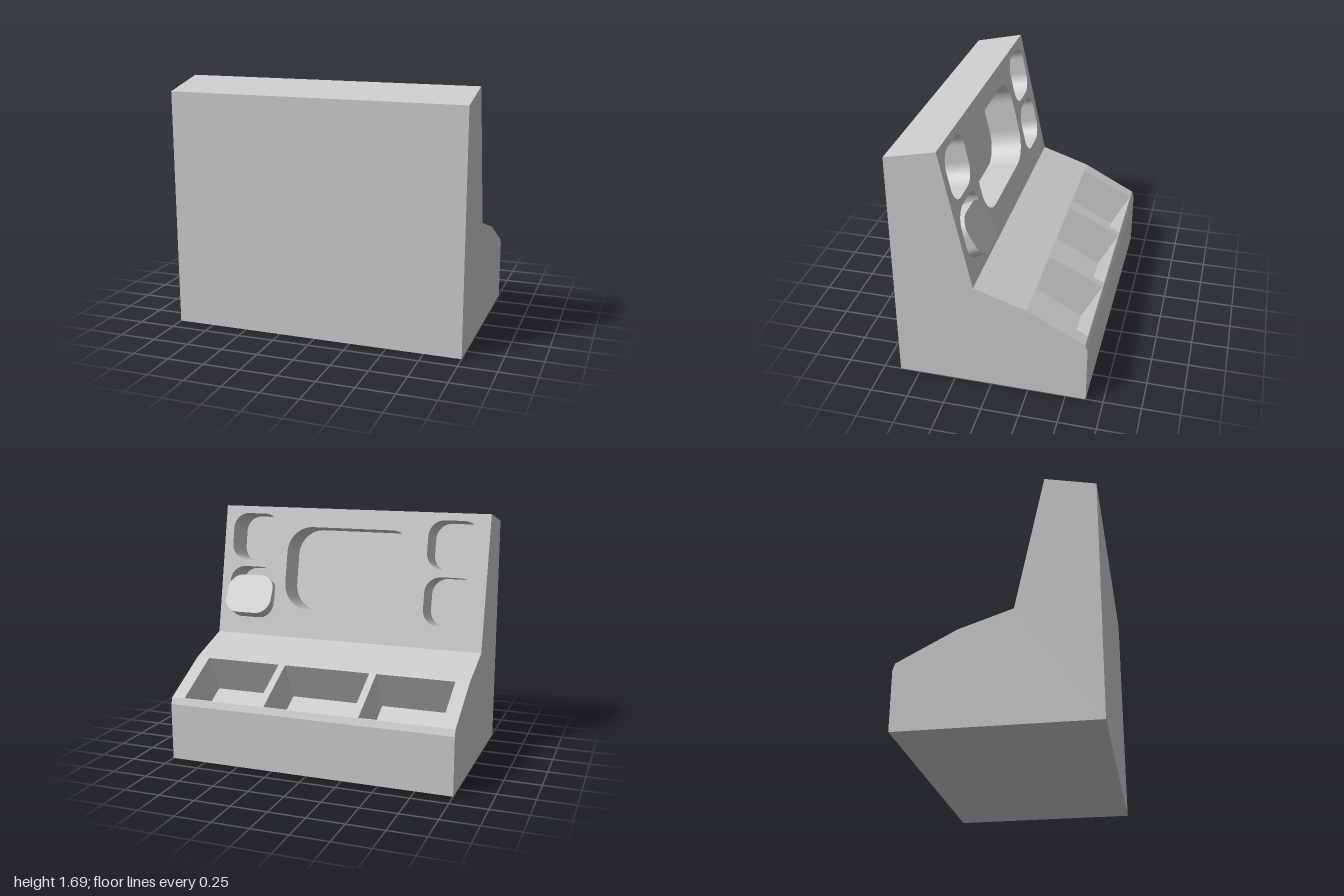
import * as THREE from 'three';

const material = new THREE.MeshStandardMaterial({ color: 0xcccccc, flatShading: true });

// Rectangle centred on (cx, cy), with rounded corners when r > 0
function rectShape(cx, cy, w, h, r) {
  const s = new THREE.Shape();
  const a = w / 2, b = h / 2;
  if (!r) {
    return s.setFromPoints([[-a, -b], [a, -b], [a, b], [-a, b]]
      .map(([x, y]) => new THREE.Vector2(cx + x, cy + y)));
  }
  [[1, -1, -0.5], [1, 1, 0], [-1, 1, 0.5], [-1, -1, 1]].forEach(([sx, sy, t]) =>
    s.absarc(cx + sx * (a - r), cy + sy * (b - r), r, t * Math.PI, (t + 0.5) * Math.PI, false));
  s.closePath();
  return s;
}

function addMesh(parent, name, geometry) {
  const mesh = new THREE.Mesh(geometry, material);
  mesh.name = name;
  parent.add(mesh);
  return mesh;
}

// Inward-facing walls of a recess plus its floor
function addPocket(parent, name, shape, depth) {
  const pts = shape.getPoints(7);
  const pos = [];
  pts.forEach((p, i) => {
    const q = pts[(i + 1) % pts.length];
    if (p.distanceTo(q) < 1e-6) return;
    pos.push(p.x, p.y, 0, q.x, q.y, 0, q.x, q.y, -depth);
    pos.push(p.x, p.y, 0, q.x, q.y, -depth, p.x, p.y, -depth);
  });
  const walls = new THREE.BufferGeometry();
  walls.setAttribute('position', new THREE.Float32BufferAttribute(pos, 3));
  walls.computeVertexNormals();
  addMesh(parent, name + 'Walls', walls);
  addMesh(parent, name + 'Floor', new THREE.ShapeGeometry(shape, 7)).position.z = -depth;
}

// Group whose local x runs along -x, local y along (dz, dy) and local z outward
function frame(name, z, y, dz, dy) {
  const g = new THREE.Group();
  g.name = name;
  const X = new THREE.Vector3(-1, 0, 0);
  const U = new THREE.Vector3(0, dy, dz).normalize();
  const N = new THREE.Vector3().crossVectors(X, U);
  g.quaternion.setFromRotationMatrix(new THREE.Matrix4().makeBasis(X, U, N));
  g.position.set(0, y, z);
  return g;
}

export function createModel() {
  const model = new THREE.Group();
  model.name = 'deskConsole';

  // Side profile as (z, y), each entry naming the face that starts there
  const profile = [
    [-0.635, 0, 'lowerFace'], [-0.635, 0.395, 'bevel'], [-0.62, 0.44, 'traySlope'],
    [-0.24, 0.64, 'shelf'], [0.105, 0.755, 'uprightPanel'], [0.30, 1.685, 'topFace'],
    [0.635, 1.61, 'wallFace'], [0.635, 0, 'base'],
  ];

  // Recesses: [name, shape, depth], in the local frame of their face
  const pockets = {
    traySlope: [[-0.6325, 0.545], [0, 0.62], [0.6325, 0.545]].map(([x, w]) =>
      ['tray', rectShape(x, 0.2145, w, 0.419, 0), 0.3]),
    uprightPanel: [['largeRecess', rectShape(0, 0.51, 0.975, 0.605, 0.19), 0.23]],
  };
  for (const x of [-0.75, 0.75]) {
    for (const y of [0.33, 0.725]) {
      pockets.uprightPanel.push(['smallRecess', rectShape(x, y, 0.365, 0.345, 0.115), 0.23]);
    }
  }

  // One face per profile segment, pierced by its recesses
  profile.forEach(([z, y, name], i) => {
    const [z2, y2] = profile[(i + 1) % profile.length];
    const len = Math.hypot(z2 - z, y2 - y);
    const group = frame(name, z, y, z2 - z, y2 - y);
    const shape = rectShape(0, len / 2, 2, len, 0);
    for (const [label, hole, depth] of pockets[name] || []) {
      shape.holes.push(new THREE.Path(hole.getPoints(7)));
      addPocket(group, label, hole, depth);
    }
    addMesh(group, name + 'Surface', new THREE.ShapeGeometry(shape, 7));
    model.add(group);
  });

  // Flat ends
  for (const side of [-1, 1]) {
    const shape = new THREE.Shape(profile.map(([z, y]) => new THREE.Vector2(-side * z, y)));
    const end = addMesh(model, side > 0 ? 'leftEnd' : 'rightEnd', new THREE.ShapeGeometry(shape));
    end.rotation.y = side * Math.PI / 2;
    end.position.x = side;
  }

  // Tilted pad standing out of the lower left recess
  const pad = frame('tiltedPad', 0.118, 1.057, 0.494, 0.869);
  const block = new THREE.ExtrudeGeometry(rectShape(-0.75, 0, 0.36, 0.295, 0.11),
    { depth: 0.2, bevelEnabled: false, curveSegments: 7 });
  addMesh(pad, 'padBlock', block).position.z = -0.2;
  model.add(pad);

  return model;
}
